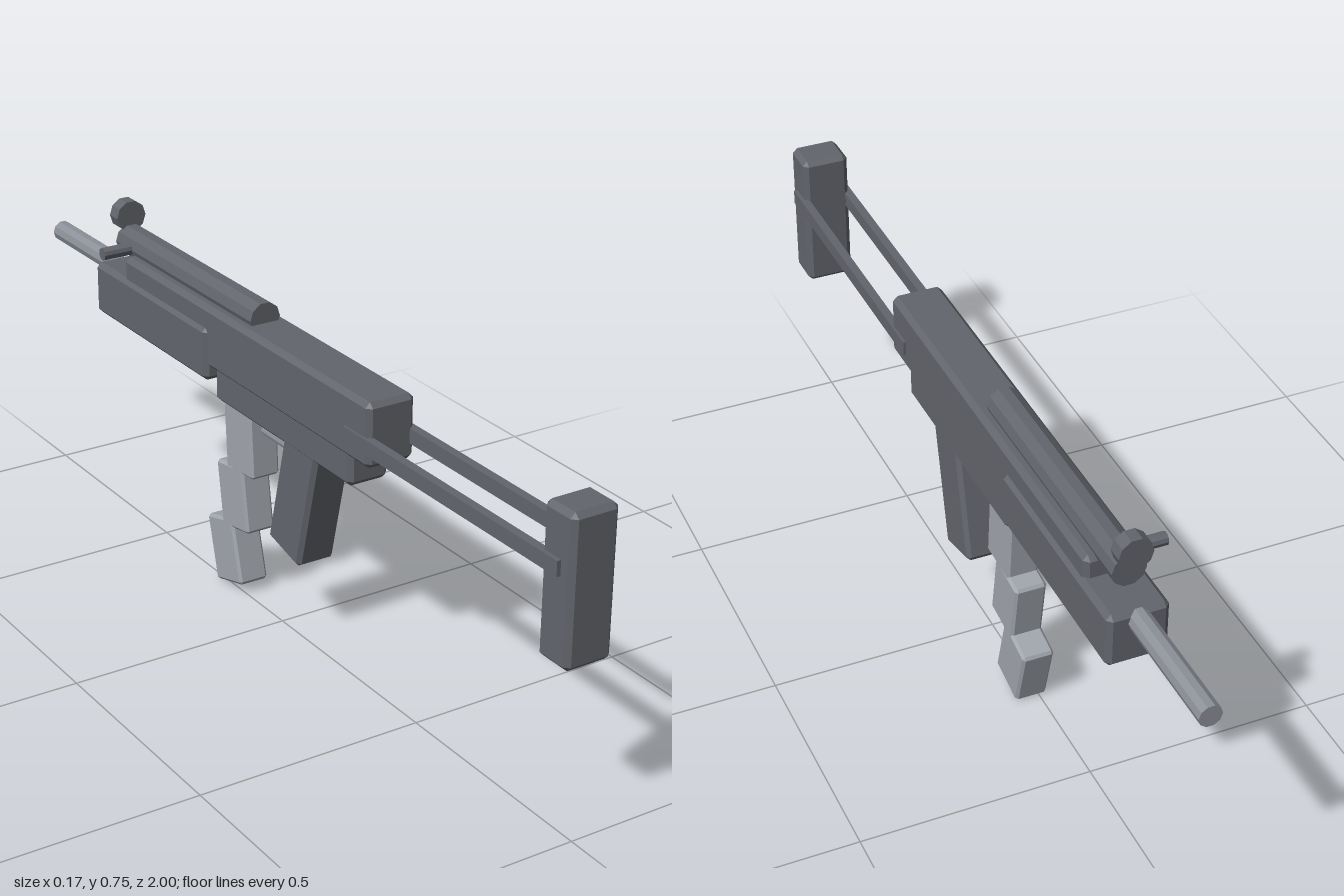
import * as THREE from 'three';
import { ConvexGeometry } from 'three/addons/geometries/ConvexGeometry.js';

const CX = 0.018; // centre line of the main body

// Box with every edge chamfered by c
function chamferBox(w, h, d, c) {
  const pts = [];
  for (const sx of [-1, 1]) for (const sy of [-1, 1]) for (const sz of [-1, 1]) {
    for (let axis = 0; axis < 3; axis++) {
      const half = [w / 2, h / 2, d / 2].map((v, i) => (i === axis ? v : v - c));
      pts.push(new THREE.Vector3(sx * half[0], sy * half[1], sz * half[2]));
    }
  }
  return new ConvexGeometry(pts);
}

// Faceted rod along z or x, with flat normals
function rod(radius, length, sides, axis) {
  const g = new THREE.CylinderGeometry(radius, radius, length, sides).toNonIndexed();
  g.computeVertexNormals();
  if (axis === 'z') g.rotateY(Math.PI / 2).rotateX(Math.PI / 2);
  else g.rotateZ(Math.PI / 2);
  return g;
}

export function createModel() {
  const model = new THREE.Group();
  const material = (name, color) => {
    const m = new THREE.MeshStandardMaterial({ color });
    m.name = name;
    return m;
  };
  const dark = material('dark grey', 0x62656c);
  const mid = material('mid grey', 0x8b8f97);
  const light = material('light grey', 0xa0a5ac);

  const add = (name, geometry, mat, x, y, z, tilt = 0) => {
    const mesh = new THREE.Mesh(geometry, mat);
    mesh.name = name;
    mesh.position.set(x, y, z);
    mesh.rotation.x = THREE.MathUtils.degToRad(tilt);
    model.add(mesh);
  };
  // Chamfered block given by its y and z ranges
  const block = (name, w, y0, y1, z0, z1, c = 0.011) =>
    add(name, chamferBox(w, y1 - y0, z1 - z0, c), dark, CX, (y0 + y1) / 2, (z0 + z1) / 2);

  // Main blocks
  block('upperBody', 0.112, 0.52, 0.66, -0.6, 0.37);
  block('lowerBody', 0.096, 0.45, 0.54, -0.225, 0.295);
  block('foregrip', 0.129, 0.49, 0.612, -0.72, -0.235);
  block('buttPlate', 0.106, 0.37, 0.686, 0.912, 1.0);

  // Pair of flat stock rails
  for (const side of [-1, 1]) {
    add('stockRail', new THREE.BoxGeometry(0.019, 0.032, 0.68), dark, CX + side * 0.052, 0.572, 0.63);
  }

  // Slanted handle
  add('handle', chamferBox(0.09, 0.3, 0.122, 0.009), dark, CX, 0.345, 0.077, 13.5);

  // Magazine: three stepped, increasingly tilted segments
  for (const [y, z, h, tilt] of [
    [0.4, -0.154, 0.195, -4],
    [0.235, -0.179, 0.15, -9],
    [0.092, -0.214, 0.15, -15],
  ]) {
    add('magazineSegment', chamferBox(0.07, h, 0.106, 0.006), light, CX, y, z, tilt);
  }

  // Barrel, trigger bar and top tube
  add('barrel', rod(0.024, 0.34, 10, 'z'), mid, CX - 0.001, 0.588, -0.83);
  add('triggerBar', rod(0.012, 0.14, 10, 'z'), mid, CX, 0.418, -0.025);
  add('topTube', rod(0.036, 0.575, 10, 'z'), dark, CX, 0.67, -0.383);

  // Front sight disc and side lever
  add('frontSight', rod(0.036, 0.034, 10, 'z'), dark, CX, 0.724, -0.679);
  add('sideLever', rod(0.014, 0.103, 10, 'x'), dark, -0.0335, 0.67, -0.612);

  return model;
}
